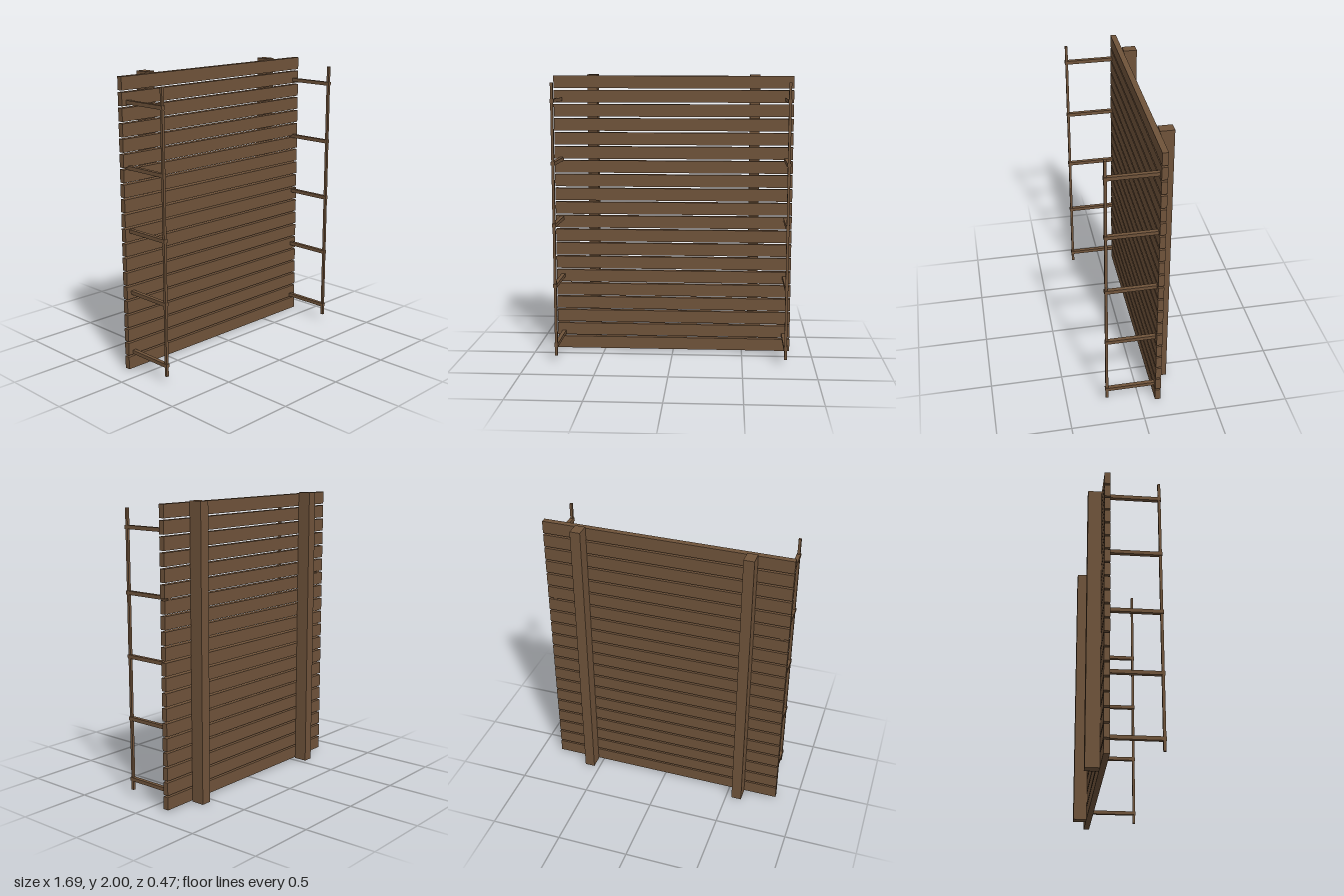
import * as THREE from 'three';

export function createModel() {
  const group = new THREE.Group();
  const wood = new THREE.MeshStandardMaterial({ color: 0x6f533a });
  wood.name = 'brown wood';

  const addBox = (name, size, position) => {
    const mesh = new THREE.Mesh(new THREE.BoxGeometry(...size), wood);
    mesh.name = name;
    mesh.position.set(...position);
    group.add(mesh);
  };

  // Horizontal planks with narrow gaps
  const plankCount = 20;
  for (let i = 0; i < plankCount; i++) {
    addBox('plank', [1.694, 0.087, 0.039], [0, 0.053 + i * 0.0997, -0.1245]);
  }

  for (const side of [-1, 1]) {
    // Full-height post behind the planks
    addBox('post', [0.071, 2, 0.093], [side * 0.576, 1, -0.1905]);

    // Slim upright rail held in front of the planks
    addBox('rail', [0.018, 1.9, 0.018], [side * 0.8, 1, 0.225]);

    // Brackets carrying the rail
    for (let i = 0; i < 5; i++) {
      addBox('bracket', [0.027, 0.025, 0.377], [side * 0.8, 0.127 + i * 0.425, 0.0485]);
    }
  }
  return group;
}
